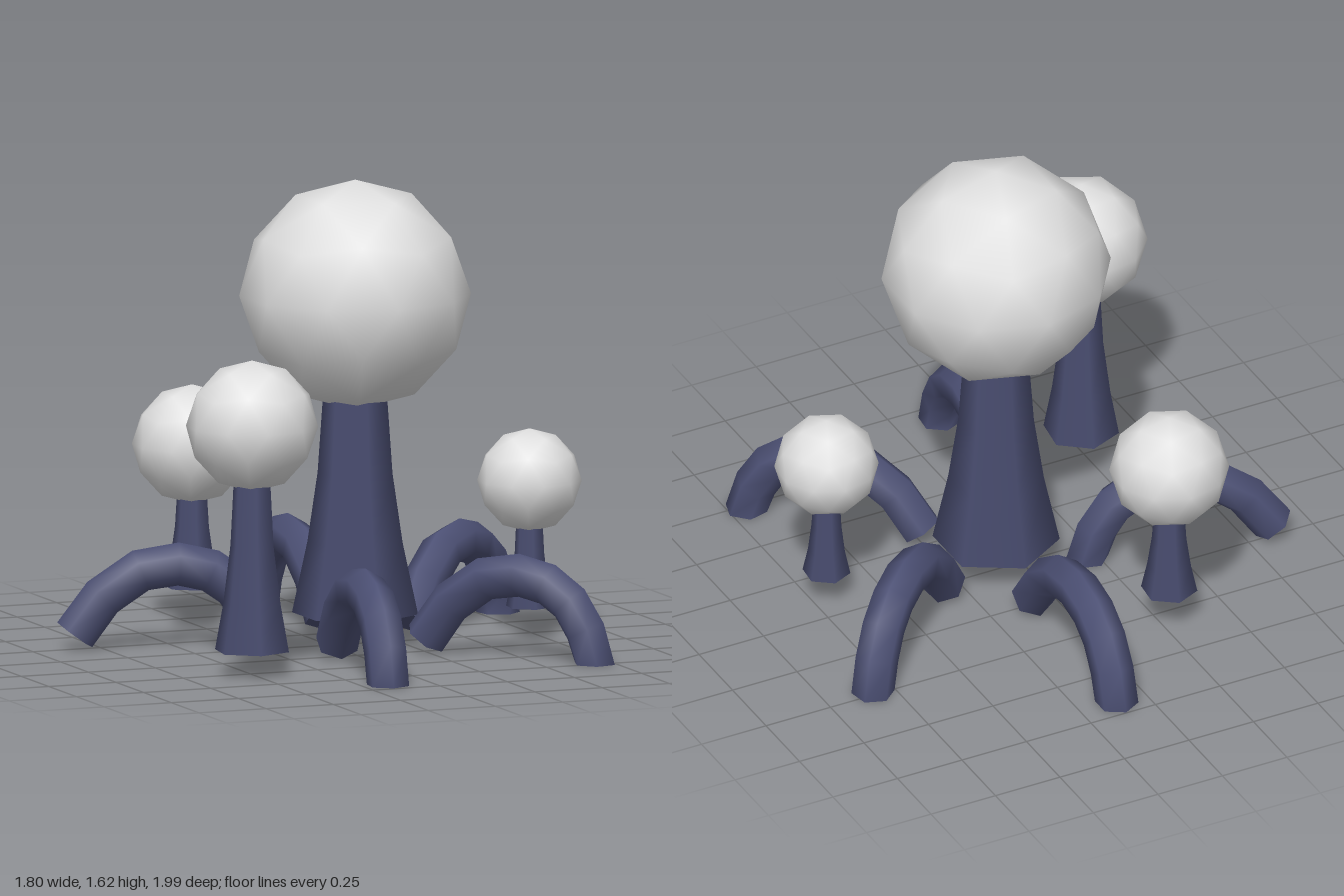
import * as THREE from 'three';

const stalkBlue = new THREE.MeshStandardMaterial({ color: 0x4c5074 });
stalkBlue.name = 'dusk blue';
const bulbGrey = new THREE.MeshStandardMaterial({ color: 0xe0e0e0 });
bulbGrey.name = 'pale grey';

// Capped hexagonal tube in the x-y plane; each ring is [x, y, radius, tangentAngle]
function sweep(rings) {
  const last = rings.length - 1;
  const geo = new THREE.CylinderGeometry(1, 1, 1, 6, last, false, Math.PI / 2);
  const pos = geo.attributes.position;
  const nor = geo.attributes.normal;
  for (let i = 0; i < pos.count; i++) {
    const [cx, cy, r, angle] = rings[Math.round((pos.getY(i) + 0.5) * last)];
    const tx = Math.cos(angle), ty = Math.sin(angle);
    const px = pos.getX(i) * r;
    pos.setXYZ(i, cx + px * ty, cy - px * tx, pos.getZ(i) * r);
    const nx = nor.getX(i), ny = nor.getY(i);
    nor.setXYZ(i, nx * ty + ny * tx, -nx * tx + ny * ty, nor.getZ(i));
  }
  return geo;
}

function add(parent, name, geometry, material) {
  const mesh = new THREE.Mesh(geometry, material);
  mesh.name = name;
  parent.add(mesh);
  return mesh;
}

// Faceted ball with a vertex at the pole and smooth normals
function ball(radius) {
  return new THREE.IcosahedronGeometry(radius, 1)
    .rotateX(-Math.atan((1 + Math.sqrt(5)) / 2))
    .rotateY(Math.PI / 2);
}

// Flaring stalk [height, radius] topped by a ball
function bulb(name, x, z, ballY, ballR, turn, profile) {
  const group = new THREE.Group();
  group.name = name;
  group.position.set(x, 0, z);
  group.rotation.y = THREE.MathUtils.degToRad(turn);
  const stalk = sweep(profile.map(([y, r]) => [0, y, r, Math.PI / 2]));
  add(group, name + 'Stalk', stalk.rotateY(Math.PI / 2), stalkBlue);
  add(group, name + 'Ball', ball(ballR), bulbGrey).position.y = ballY;
  return group;
}

// Arch centre line, run and height, ending flat on the ground
const ARCH = [[0, 0.05], [0.095, 0.18], [0.225, 0.27], [0.355, 0.29],
  [0.465, 0.265], [0.55, 0.205], [0.61, 0.11], [0.645, 0]];

function archGeometry(length) {
  const k = length / 0.645;
  const rings = ARCH.map(([x, y], i) => {
    const a = ARCH[Math.max(i - 1, 0)], b = ARCH[Math.min(i + 1, ARCH.length - 1)];
    const angle = i === ARCH.length - 1 ? -Math.PI / 2 : Math.atan2(b[1] - a[1], b[0] - a[0]);
    return [x * k, y, 0.075, angle];
  });
  return sweep(rings);
}

export function createModel() {
  const model = new THREE.Group();
  model.name = 'bulbCluster';

  // Balls on stalks
  model.add(
    bulb('mainBulb', 0.083, 0.03, 1.22, 0.4, 0,
      [[0.11, 0.219], [0.36, 0.165], [0.6, 0.13], [0.9, 0.109]]),
    bulb('frontRightBulb', -0.505, 0.527, 0.867, 0.228, -8,
      [[0.085, 0.132], [0.25, 0.102], [0.45, 0.077], [0.7, 0.064]]),
    bulb('backRightBulb', -0.278, -0.567, 0.637, 0.207, -6,
      [[0.14, 0.098], [0.24, 0.076], [0.35, 0.06], [0.48, 0.052]]),
    bulb('leftBulb', 0.698, 0.112, 0.55, 0.18, -6,
      [[0.11, 0.083], [0.2, 0.064], [0.3, 0.052], [0.42, 0.046]]),
  );

  // Arched roots, from the raised end to the flat ground end [x, z]
  const roots = {
    backRoot: [[0.1, -0.275], [0.11, -0.922]],
    backLeftRoot: [[0.33, -0.06], [0.825, -0.48]],
    frontLeftRoot: [[0.245, 0.275], [0.685, 0.735]],
    frontRightRoot: [[-0.09, 0.285], [-0.16, 0.918]],
    rightRoot: [[-0.845, -0.25], [-0.215, -0.075]],
  };
  for (const [name, [a, b]] of Object.entries(roots)) {
    const dx = b[0] - a[0], dz = b[1] - a[1];
    const root = add(model, name, archGeometry(Math.hypot(dx, dz)), stalkBlue);
    root.position.set(a[0], 0, a[1]);
    root.rotation.y = Math.atan2(-dz, dx);
  }
  return model;
}
